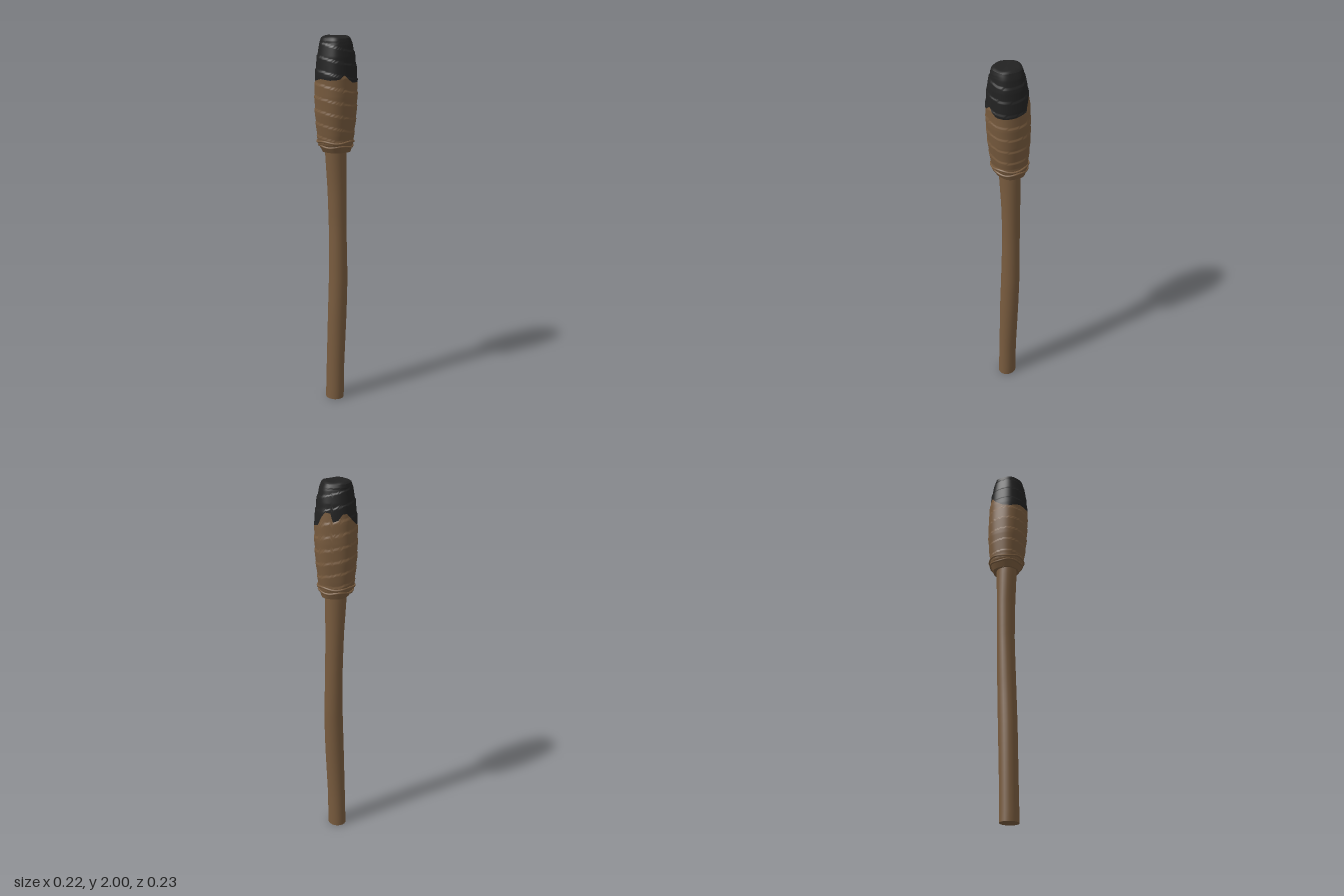
import * as THREE from 'three';

const TAU = Math.PI * 2;

// Linear interpolation through rows [key, a, b, ...]
function sample(rows, k) {
  let i = 0;
  while (i < rows.length - 2 && k > rows[i + 1][0]) i++;
  const p = rows[i], q = rows[i + 1];
  const t = THREE.MathUtils.clamp((k - p[0]) / (q[0] - p[0]), 0, 1);
  return p.slice(1).map((v, j) => v + (q[j + 1] - v) * t);
}

// Skin point(u, v): u runs around the axis, v runs upwards
function loft(point, around, up) {
  const pos = [], idx = [];
  for (let j = 0; j <= up; j++)
    for (let i = 0; i < around; i++) pos.push(...point((i / around) * TAU, j / up));
  for (let j = 0; j < up; j++)
    for (let i = 0; i < around; i++) {
      const a = j * around + i, b = j * around + (i + 1) % around;
      idx.push(a, a + around, b, b, a + around, b + around);
    }
  const g = new THREE.BufferGeometry();
  g.setAttribute('position', new THREE.Float32BufferAttribute(pos, 3));
  g.setIndex(idx);
  g.computeVertexNormals();
  return g;
}

// y, left x, right x, back z, front z
const SHAFT = [
  [0, -0.058, 0.038, -0.05, 0.054], [0.2, -0.053, 0.042, -0.048, 0.053],
  [0.5, -0.046, 0.058, -0.046, 0.055], [0.7, -0.038, 0.065, -0.046, 0.054],
  [1.0, -0.032, 0.061, -0.05, 0.046], [1.2, -0.038, 0.06, -0.055, 0.047],
  [1.42, -0.056, 0.061, -0.06, 0.05],
];
const HEAD = [
  [1.405, -0.063, 0.083, -0.076, 0.066], [1.45, -0.088, 0.094, -0.098, 0.086],
  [1.5, -0.095, 0.099, -0.104, 0.094], [1.6, -0.106, 0.108, -0.111, 0.106],
  [1.7, -0.111, 0.111, -0.111, 0.112], [1.8, -0.111, 0.108, -0.105, 0.112],
  [1.9, -0.101, 0.095, -0.093, 0.102], [1.96, -0.088, 0.08, -0.08, 0.09],
  [1.99, -0.078, 0.066, -0.072, 0.08],
];
// Height of the burnt edge by angle in degrees, from +x towards +z
const BURN = [
  [0, 1.79], [30, 1.775], [62, 1.77], [85, 1.772], [98, 1.79], [110, 1.812], [125, 1.79],
  [150, 1.785], [180, 1.79], [210, 1.775], [235, 1.785], [258, 1.815], [275, 1.85],
  [288, 1.85], [300, 1.82], [316, 1.81], [322, 1.855], [338, 1.858], [350, 1.83], [360, 1.79],
];

function ringPoint(rows, a, y, swell = 0) {
  const [l, r, b, f] = sample(rows, y);
  return [
    (l + r) / 2 + ((r - l) / 2 + swell) * Math.cos(a), y,
    (b + f) / 2 + ((f - b) / 2 + swell) * Math.sin(a),
  ];
}

// Cloth wound in overlapping, slightly tilted layers
function headPoint(a, y) {
  const turn = (y - 1.47) / 0.068 + 0.35 * Math.sin(a + 0.8);
  const layer = y > 1.47 && y < 1.97 ? 0.004 * (turn - Math.floor(turn)) - 0.003 : 0;
  return ringPoint(HEAD, a, y, layer + 0.002 * Math.cos(5 * a + 0.9));
}

export function createModel() {
  const model = new THREE.Group();
  const brown = new THREE.MeshStandardMaterial({ color: 0x785b3e });
  brown.name = 'brown wood and cloth';
  const char = new THREE.MeshStandardMaterial({ color: 0x222222 });
  char.name = 'charred black';
  const add = (name, geometry, material) => {
    const mesh = new THREE.Mesh(geometry, material);
    mesh.name = name;
    model.add(mesh);
  };
  // Flat end: ring shrinking to its centre, wound to face up or down
  const cap = (ring, centre, faceUp) => loft((a, v) => {
    const p = ring(a);
    const t = faceUp ? v : 1 - v;
    return p.map((c, i) => c + (centre[i] - c) * t);
  }, 48, 3);

  // Crooked wooden shaft
  add('shaft', loft((a, v) => ringPoint(SHAFT, a, v * 1.42), 24, 28), brown);
  add('shaftEnd', cap((a) => ringPoint(SHAFT, a, 0), [-0.01, 0, 0.002], false), brown);

  // Wrapped head, divided by the ragged burnt edge
  const edge = (a) => sample(BURN, (a / TAU) * 360)[0];
  add('clothWrap', loft((a, v) => headPoint(a, 1.405 + (edge(a) - 1.405) * v), 96, 70), brown);
  add('charredWrap', loft((a, v) => headPoint(a, edge(a) + (1.99 - edge(a)) * v), 96, 40), char);
  add('wrapUnderside', cap((a) => headPoint(a, 1.405), [0.01, 1.405, -0.005], false), brown);

  // Rounded, slightly uneven burnt tip
  add('charredTip', loft((a, v) => {
    const p = headPoint(a, 1.99);
    const s = 1 - v;
    const rise = Math.sin(Math.min(v * 5, 1) * Math.PI / 2) * (0.008 + 0.002 * Math.sin(3 * a) * s);
    return [-0.006 + (p[0] + 0.006) * s, 1.99 + rise, 0.004 + (p[2] - 0.004) * s];
  }, 96, 10), char);

  // Two wavy turns of twine
  [1.438, 1.462].forEach((y, k) => {
    const points = [];
    for (let i = 0; i < 48; i++) {
      const a = (i / 48) * TAU;
      const p = ringPoint(HEAD, a, y, 0.001);
      p[1] += 0.004 * Math.sin(4 * a + k * 2);
      points.push(new THREE.Vector3(...p));
    }
    const curve = new THREE.CatmullRomCurve3(points, true);
    add('twine' + (k + 1), new THREE.TubeGeometry(curve, 96, 0.006, 8, true), brown);
  });
  return model;
}
